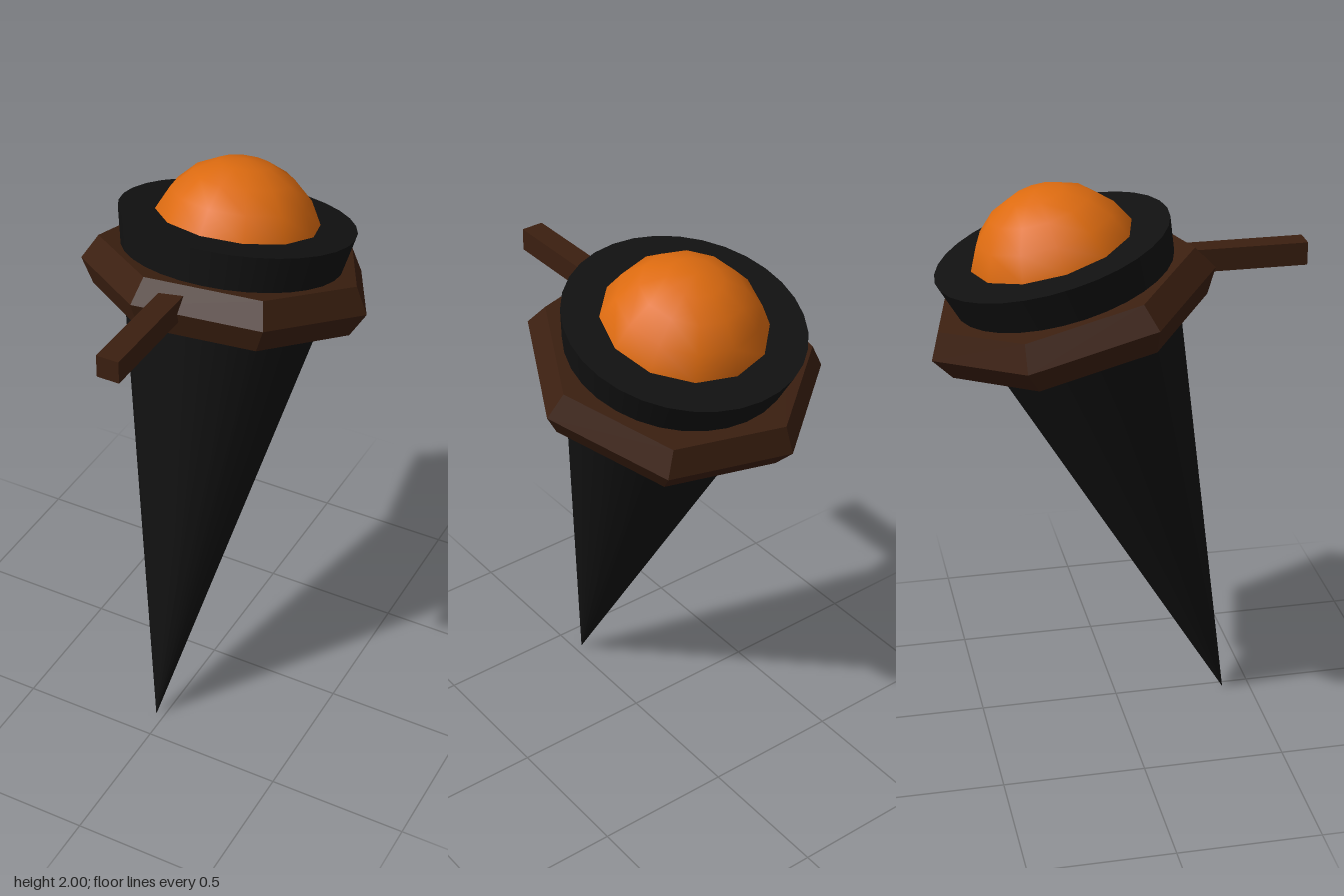
import * as THREE from 'three';

export function createModel() {
  const model = new THREE.Group();
  const black = new THREE.MeshStandardMaterial({ color: 0x111111 });
  const orange = new THREE.MeshStandardMaterial({ color: 0xdd6b10 });
  const brown = new THREE.MeshStandardMaterial({ color: 0x3b1f10, flatShading: true });

  const add = (parent, name, geometry, material, x = 0, y = 0, z = 0) => {
    const mesh = new THREE.Mesh(geometry, material);
    mesh.name = name;
    mesh.position.set(x, y, z);
    parent.add(mesh);
    return mesh;
  };

  // Tilted head: origin at the centre of the cone's flat top, leaning back
  const head = new THREE.Group();
  head.name = 'tiltedHead';
  head.position.set(-0.03, 1.795, -0.225);
  head.rotation.x = -THREE.MathUtils.degToRad(15);
  model.add(head);

  // Long cone, point down, with the tip sheared slightly forward
  const length = 1.896;
  const cone = new THREE.CylinderGeometry(0.407, 0, length, 32);
  cone.translate(0, -length / 2, 0);
  cone.applyMatrix4(new THREE.Matrix4().makeShear(0, 0, 0, -0.139 / length, 0, 0));
  add(head, 'cone', cone, black);

  // Ball set into the flat top
  add(head, 'ball', new THREE.SphereGeometry(0.297, 12, 10), orange, 0, -0.094, 0);

  // Seven-sided collar with a hexagonal section
  const ring = new THREE.TorusGeometry(0.41, 0.1, 6, 7);
  ring.rotateX(Math.PI / 2);
  add(head, 'collar', ring, brown, 0, -0.212, 0);

  // Level handle sticking out of the collar's front
  add(model, 'handle', new THREE.BoxGeometry(0.08, 0.08, 0.45), brown, -0.03, 1.716, 0.425);

  return model;
}
